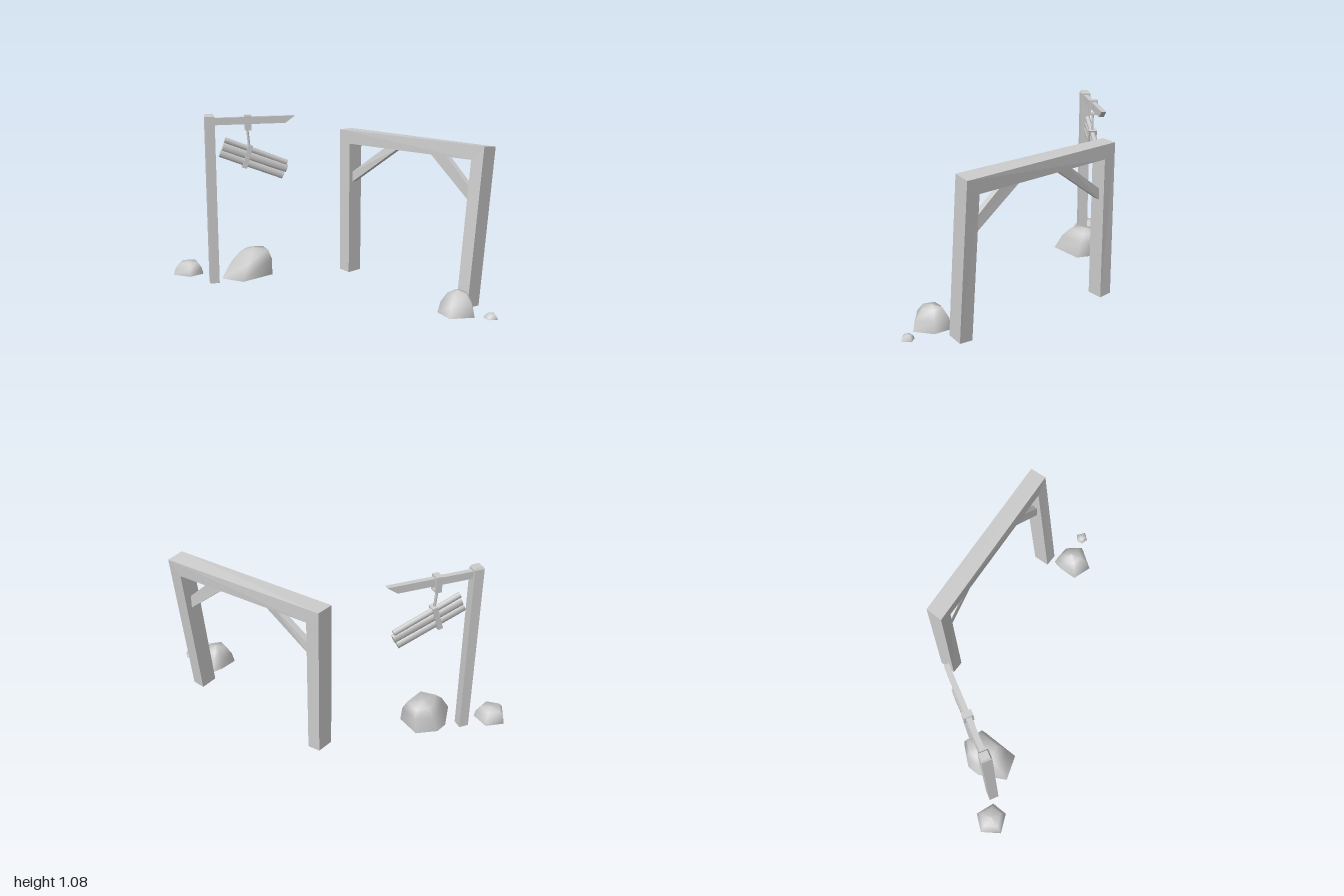
import * as THREE from 'three';

const flat = new THREE.MeshStandardMaterial({ color: 0xcccccc, flatShading: true, side: THREE.DoubleSide });
const smooth = new THREE.MeshStandardMaterial({ color: 0xcccccc, side: THREE.DoubleSide });

function add(parent, name, geometry, material = flat) {
  const mesh = new THREE.Mesh(geometry, material);
  mesh.name = name;
  parent.add(mesh);
  return mesh;
}

// Skin between rings of [x, y, z]; rings run counter-clockwise seen from the path's end
function loft(rings) {
  const n = rings[0].length, index = [];
  for (let i = 0; i < rings.length - 1; i++) {
    for (let j = 0; j < n; j++) {
      const a = i * n + j, b = i * n + (j + 1) % n;
      index.push(a, b, b + n, a, b + n, a + n);
    }
  }
  const g = new THREE.BufferGeometry();
  g.setAttribute('position', new THREE.Float32BufferAttribute(rings.flat(2), 3));
  g.setIndex(index);
  g.computeVertexNormals();
  return g;
}

// Rectangular band standing in the y-z plane, open along x
function bandGeometry(across, height, along, t) {
  const rect = (C, w, h) => new C([[-w, -h], [w, -h], [w, h], [-w, h]].map(p => new THREE.Vector2(p[0] / 2, p[1] / 2)));
  const s = rect(THREE.Shape, across, height);
  s.holes.push(rect(THREE.Path, across - 2 * t, height - 2 * t));
  const g = new THREE.ExtrudeGeometry(s, { depth: along, bevelEnabled: false });
  return g.translate(0, 0, -along / 2).rotateY(Math.PI / 2);
}

function makeGate() {
  const gate = new THREE.Group();
  gate.name = 'gate';
  // Mitred frame: left foot, left corner, right corner, right foot (right post leans back)
  const section = (xo, yo, xi, yi, zo, zi, drop) => [
    [xo, yo, zo], [xi, yi, zi], [xi, yi - drop, zi - 0.105], [xo, yo - drop, zo - 0.105],
  ];
  add(gate, 'gateFrame', loft([
    section(-0.32, 0.045, -0.24, 0.038, -0.342, -0.346, 0),
    section(-0.32, 0.97, -0.24, 0.885, -0.342, -0.35, 0.002),
    section(0.74, 0.97, 0.66, 0.885, -0.445, -0.432, 0.013),
    section(0.74, 0.042, 0.66, 0.038, -0.342, -0.34, 0.009),
  ]));
  // Diagonal braces
  const brace = (xPost, yHigh, yLow, xNear, xFar, zPost, zBeam, h) => add(gate, 'brace', loft([
    [[xPost, yHigh, zPost + h], [xPost, yLow, zPost + h], [xPost, yLow, zPost - h], [xPost, yHigh, zPost - h]],
    [[xNear, 0.89, zBeam + h], [xFar, 0.89, zBeam + h], [xFar, 0.89, zBeam - h], [xNear, 0.89, zBeam - h]],
  ]));
  brace(-0.242, 0.7, 0.635, 0.02, 0.12, -0.395, -0.43, 0.018);
  brace(0.662, 0.71, 0.63, 0.46, 0.34, -0.457, -0.46, -0.018);
  return gate;
}

function makeSignpost() {
  // Local x runs along the arm
  const sign = new THREE.Group();
  sign.name = 'signpost';
  sign.position.set(-0.77, 0, 0.345);
  sign.rotation.y = 1.077;

  const r = 0.0417;
  add(sign, 'post', new THREE.CylinderGeometry(r, r, 1.07, 4).rotateY(Math.PI / 4).translate(0, 0.535, 0));
  add(sign, 'postCap', new THREE.CylinderGeometry(r * 0.75, r, 0.013, 4).rotateY(Math.PI / 4).translate(0, 1.0765, 0));

  // Arm with an undercut tip
  const arm = new THREE.Shape([[0, 1.015], [0.477, 1.015], [0.539, 1.06], [0, 1.06]].map(p => new THREE.Vector2(...p)));
  add(sign, 'arm', new THREE.ExtrudeGeometry(arm, { depth: 0.03, bevelEnabled: false }).translate(0, 0, -0.015));

  add(sign, 'armBand', bandGeometry(0.056, 0.095, 0.036, 0.012)).position.set(0.24, 1.024, 0);
  const rope = new THREE.LineCurve3(new THREE.Vector3(0.235, 0.985, 0), new THREE.Vector3(0.246, 0.87, 0));
  add(sign, 'hanger', new THREE.TubeGeometry(rope, 1, 0.008, 6), smooth);

  // Tilted board of three rounded planks held by a band
  const board = new THREE.Group();
  board.name = 'signBoard';
  board.position.set(0.277, 0.796, 0);
  board.rotation.z = -0.372;
  sign.add(board);
  const planks = [[0.045, 0.034, 0.425, -0.005], [0.005, 0.052, 0.435, 0.003], [-0.042, 0.046, 0.43, -0.002]];
  for (const [y, height, length, shift] of planks) {
    const g = new THREE.CylinderGeometry(0.5, 0.5, 1, 8).rotateZ(Math.PI / 2).rotateX(Math.PI / 8);
    const plank = add(board, 'plank', g, smooth);
    plank.scale.set(length, height * 1.08, 0.032);
    plank.position.set(shift, y, 0);
    plank.rotation.z = shift * 3;
  }
  const strap = add(board, 'boardBand', bandGeometry(0.052, 0.148, 0.03, 0.01));
  strap.position.set(-0.048, -0.004, 0);
  strap.rotation.z = 0.08;
  return sign;
}

// Open-bottomed boulder: the base outline shrinks towards a leaning crown
function makeRock(outline, height, levels, lean = [0, 0]) {
  const mean = k => outline.reduce((s, p) => s + p[k], 0) / outline.length;
  const cx = mean(0), cz = mean(1);
  const rings = [[0, 1], ...levels, [1, 0.001]].map(([h, s]) => outline.map(([x, z]) => [
    cx + (x - cx) * s + lean[0] * h, 0.055 + height * h, cz + (z - cz) * s + lean[1] * h,
  ]));
  return loft(rings);
}

export function createModel() {
  const model = new THREE.Group();
  model.name = 'gateAndSignpost';
  model.add(makeGate(), makeSignpost());

  // Boulders
  const rocks = new THREE.Group();
  rocks.name = 'rocks';
  model.add(rocks);
  const dome = [[0.5, 0.85], [0.9, 0.52]];
  add(rocks, 'smallRock', makeRock(
    [[-0.93, 0.355], [-1, 0.445], [-0.93, 0.545], [-0.82, 0.495], [-0.82, 0.395]], 0.08, [[0.5, 0.9], [0.9, 0.65]]), smooth);
  add(rocks, 'largeRock', makeRock(
    [[-0.655, 0.03], [-0.74, 0.13], [-0.74, 0.21], [-0.655, 0.368], [-0.505, 0.315], [-0.505, 0.08]],
    0.166, [[0.6, 0.81], [0.93, 0.57]], [0.01, -0.055]), smooth);
  add(rocks, 'mediumRock', makeRock(
    [[0.7, -0.31], [0.687, -0.245], [0.69, -0.135], [0.81, -0.098], [0.89, -0.215], [0.81, -0.308]], 0.13, dome), smooth);
  add(rocks, 'pebble', makeRock(
    [[0.955, -0.315], [0.92, -0.285], [0.925, -0.25], [0.97, -0.24], [1, -0.28]], 0.031, dome), smooth);
  return model;
}
